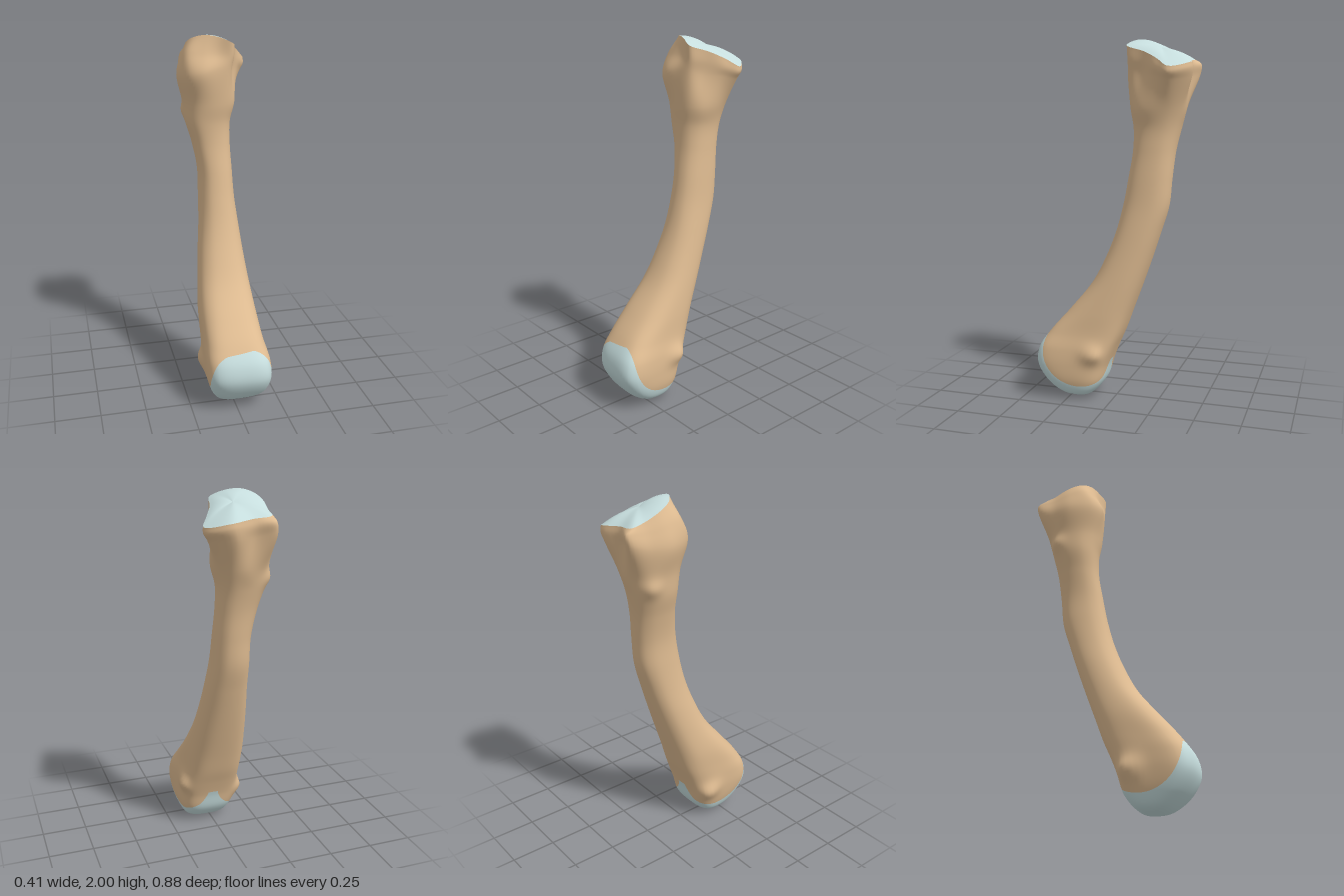
import * as THREE from 'three';

const AROUND = 72, ALONG = 150;
const V = (x, y, z) => new THREE.Vector3(x, y, z);

// Rounded-box cross-section: height, x range, z range, squareness, widening
// toward the front, forward skew of the left side -> 12 points
function section([y, x0, x1, z0, z1, n, widen = 0, skew = 0]) {
  const pts = [];
  for (let k = 0; k < 12; k++) {
    const a = k * Math.PI / 6;
    const p = v => Math.sign(v) * Math.pow(Math.abs(v), 2 / n);
    const c = p(Math.cos(a)), s = p(Math.sin(a));
    const x = (x0 + x1) / 2 + (x1 - x0) / 2 * c * (1 + widen * s);
    pts.push(V(x, y, (z0 + z1) / 2 + (z1 - z0) / 2 * s + skew * c * Math.max(s, 0)));
  }
  return pts;
}

// Smooth skin through closed 12-point sections
function loft(rows, along, bumps = []) {
  const rings = rows.map(r => {
    const curve = new THREE.CatmullRomCurve3(r, true);
    return Array.from({ length: AROUND }, (_, j) => curve.getPoint(j / AROUND));
  });
  const columns = Array.from({ length: AROUND }, (_, j) => new THREE.CatmullRomCurve3(rings.map(r => r[j])));
  const pos = [], index = [];
  for (let i = 0; i <= along; i++) {
    const ring = columns.map(c => c.getPoint(i / along));
    const mid = ring.reduce((m, p) => m.add(p), V(0, 0, 0)).divideScalar(AROUND);
    ring.forEach((p, j) => {
      const out = V(p.x - mid.x, 0, p.z - mid.z).normalize();
      const push = bumps.reduce((d, [at, r, h]) => d + h * Math.exp(-p.distanceToSquared(at) / (r * r)), 0);
      pos.push(...p.addScaledVector(out, push).toArray());
      if (i === along) return;
      const a = i * AROUND + j, b = i * AROUND + (j + 1) % AROUND;
      index.push(a, a + AROUND, b, b, a + AROUND, b + AROUND);
    });
  }
  const g = new THREE.BufferGeometry();
  g.setAttribute('position', new THREE.Float32BufferAttribute(pos, 3));
  g.setIndex(index);
  g.computeVertexNormals();
  return g;
}

// Keeps the side of a surface where field(p) * sign > 0, cutting triangles cleanly
function clip(g, field, sign) {
  const P = g.attributes.position, N = g.attributes.normal, pos = [], nor = [];
  const verts = Array.from({ length: P.count }, (_, i) => {
    const p = new THREE.Vector3().fromBufferAttribute(P, i);
    return { p, n: new THREE.Vector3().fromBufferAttribute(N, i), f: field(p) * sign };
  });
  for (let t = 0; t < g.index.count; t += 3) {
    const tri = [0, 1, 2].map(k => verts[g.index.getX(t + k)]), poly = [];
    tri.forEach((a, k) => {
      const b = tri[(k + 1) % 3];
      if (a.f > 0) poly.push(a);
      if ((a.f > 0) !== (b.f > 0)) {
        const u = a.f / (a.f - b.f);
        poly.push({ p: a.p.clone().lerp(b.p, u), n: a.n.clone().lerp(b.n, u).normalize() });
      }
    });
    for (let k = 2; k < poly.length; k++)
      for (const v of [poly[0], poly[k - 1], poly[k]]) {
        pos.push(...v.p.toArray());
        nor.push(...v.n.toArray());
      }
  }
  const out = new THREE.BufferGeometry();
  out.setAttribute('position', new THREE.Float32BufferAttribute(pos, 3));
  out.setAttribute('normal', new THREE.Float32BufferAttribute(nor, 3));
  return out;
}

export function createModel() {
  const model = new THREE.Group();
  model.name = 'footBone';
  const bone = new THREE.MeshStandardMaterial({ color: 0xdebb91 });
  const cartilage = new THREE.MeshStandardMaterial({ color: 0xc6dddd });
  const add = (name, geometry, material) => {
    const m = new THREE.Mesh(geometry, material);
    m.name = name;
    model.add(m);
  };

  // Squarish lower head and curved shaft
  const shaft = [
    [0, -0.02, -0.02, 0.2, 0.2, 2],
    [0.01, -0.07, 0.09, 0.15, 0.26, 2.6],
    [0.035, -0.105, 0.15, 0.11, 0.31, 3],
    [0.1, -0.135, 0.18, 0.06, 0.38, 3.5, 0.04, 0.01],
    [0.2, -0.155, 0.19, 0.03, 0.43, 3.8, 0.08, 0.015],
    [0.29, -0.16, 0.185, -0.005, 0.42, 3.8, 0.07, 0.015],
    [0.38, -0.16, 0.168, -0.045, 0.365, 3.3, 0.03, 0.01],
    [0.5, -0.16, 0.157, -0.09, 0.265, 2.7],
    [0.66, -0.145, 0.14, -0.15, 0.135, 2.4],
    [0.8, -0.13, 0.125, -0.2, 0.06, 2.3],
    [0.95, -0.113, 0.11, -0.25, 0, 2.3],
    [1.1, -0.105, 0.095, -0.295, -0.04, 2.3],
    [1.25, -0.105, 0.087, -0.31, -0.068, 2.3],
    [1.4, -0.132, 0.08, -0.325, -0.09, 2.3],
    [1.52, -0.165, 0.083, -0.35, -0.09, 2.3],
    [1.63, -0.178, 0.11, -0.38, -0.075, 2.3],
  ].map(section);

  // Irregular upper head: widest level, neck under the rim, sloping rim
  const wide = [
    [0.135, 1.79, -0.24], [0.085, 1.80, -0.16], [0.06, 1.82, -0.085], [-0.02, 1.82, -0.06],
    [-0.10, 1.80, -0.05], [-0.17, 1.79, -0.09], [-0.21, 1.78, -0.21], [-0.185, 1.78, -0.32],
    [-0.15, 1.81, -0.43], [-0.05, 1.79, -0.395], [0.06, 1.78, -0.42], [0.16, 1.77, -0.32]];
  const neck = [
    [0.155, 1.835, -0.255], [0.10, 1.87, -0.175], [0.07, 1.89, -0.08], [-0.01, 1.90, -0.085],
    [-0.09, 1.90, -0.09], [-0.165, 1.90, -0.13], [-0.185, 1.88, -0.22], [-0.165, 1.86, -0.33],
    [-0.145, 1.865, -0.435], [-0.05, 1.845, -0.405], [0.08, 1.835, -0.43], [0.185, 1.81, -0.325]];
  const rim = [
    [0.15, 1.88, -0.26], [0.105, 1.92, -0.18], [0.07, 1.955, -0.075], [0, 1.985, -0.095],
    [-0.07, 1.995, -0.125], [-0.125, 1.98, -0.17], [-0.15, 1.95, -0.24], [-0.145, 1.91, -0.33],
    [-0.135, 1.89, -0.40], [-0.04, 1.88, -0.40], [0.08, 1.865, -0.425], [0.185, 1.84, -0.325]];
  const [wideRow, neckRow, rimRow] = [wide, neck, rim].map(r => r.map(p => V(...p)));

  // Small knobs: both sides of the lower head and the back of the upper shaft
  const knobs = [
    [V(0.17, 0.27, 0.10), 0.05, 0.032],
    [V(-0.155, 0.2, 0.11), 0.06, 0.04],
    [V(-0.14, 1.57, -0.29), 0.045, 0.022],
  ];
  const body = loft([...shaft, wideRow, neckRow, rimRow], ALONG, knobs);

  // Cartilage wraps the front and underside of the lower head, peaking mid-back
  const lowerJoint = p => {
    const peak = 0.5 * Math.exp(-(((p.x - 0.02) / 0.06) ** 2)) * (p.z < 0.14 ? 1 : 0);
    return Math.min(
      ((p.z - 0.17) / 0.215) ** 2 + ((p.y - 0.3) / 0.215) ** 2 - 1 + peak,
      (0.357 + 0.12 * p.x - p.y) * 8,
      (p.z + 3 - 20 * Math.max(p.y - 0.19, 0) * (p.z < 0.14 ? 5 : 0)));
  };
  add('boneShaft', clip(body, lowerJoint, -1), bone);
  add('lowerJointCartilage', clip(body, lowerJoint, 1), cartilage);

  // Sloping, gently domed joint face on top
  const centre = V(0.01, 1.945, -0.25);
  const capRows = [0, 0.2, 0.4, 0.6, 0.8, 1].map(t => rimRow.map(p => {
    const q = p.clone().lerp(centre, t);
    q.y += 0.05 * t * (1 - t);
    return q;
  }));
  add('upperJointCartilage', loft(capRows, 15), cartilage);
  return model;
}
